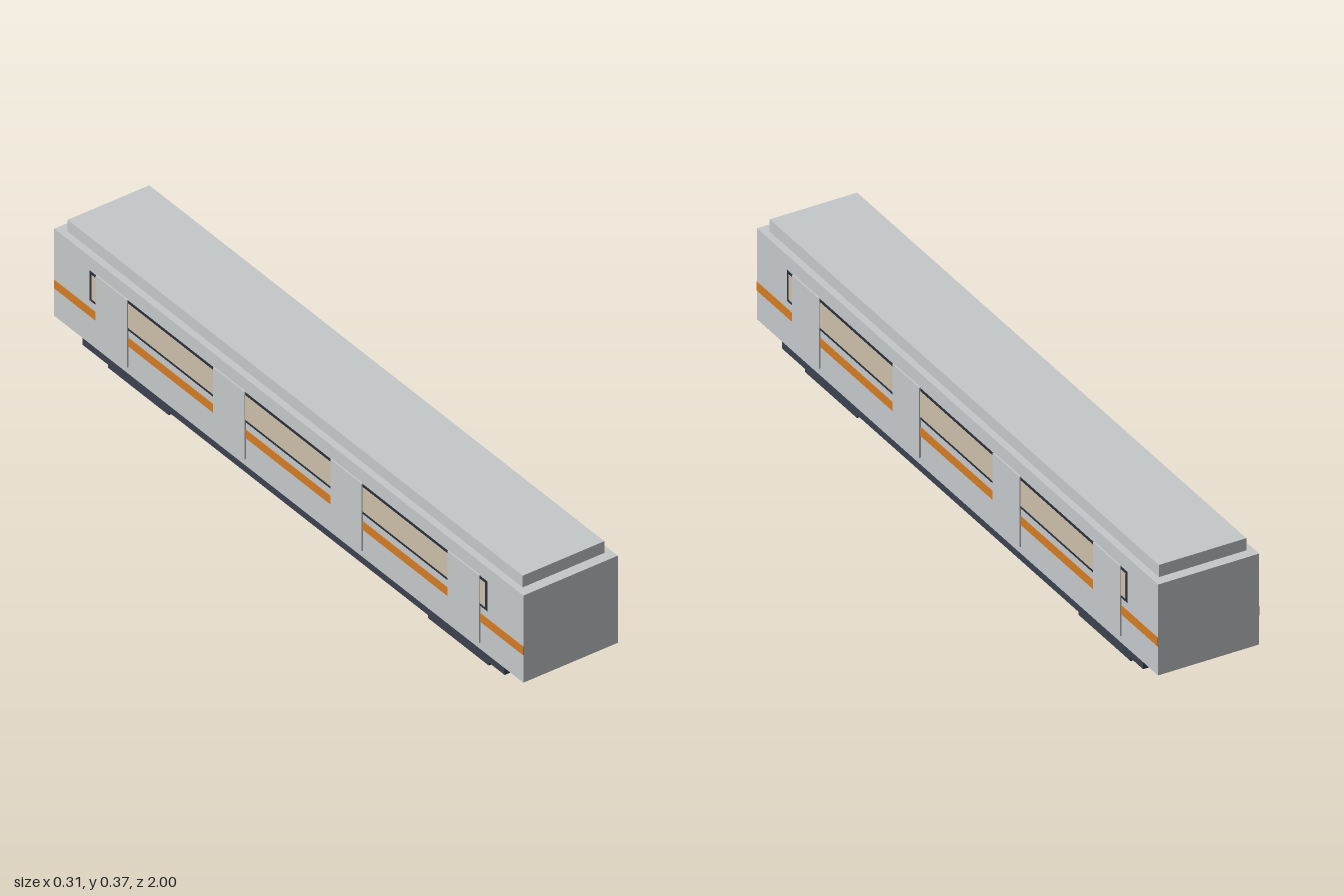
import * as THREE from 'three';

const mat = (name, color) => {
  const m = new THREE.MeshStandardMaterial({ color });
  m.name = name;
  return m;
};

export function createModel() {
  const steel = mat('brushed steel', 0xc5c8ca);
  const dark = mat('underframe slate', 0x3b4150);
  const trim = mat('window trim', 0x2a303c);
  const glass = mat('warm window', 0xccbfa8);
  const orange = mat('orange stripe', 0xd37c24);

  const car = new THREE.Group();
  car.name = 'railCar';

  // Box given by half width, bottom, top and z range
  const block = (name, material, halfW, y0, y1, z0, z1) => {
    const mesh = new THREE.Mesh(new THREE.BoxGeometry(halfW * 2, y1 - y0, z1 - z0), material);
    mesh.position.set(0, (y0 + y1) / 2, (z0 + z1) / 2);
    mesh.name = name;
    car.add(mesh);
  };

  // Thin plate on one side wall, reaching out to |x| = outer
  const inner = 0.1465;
  const plate = (name, material, side, outer, y0, y1, z0, z1) => {
    const mesh = new THREE.Mesh(new THREE.BoxGeometry(outer - inner, y1 - y0, z1 - z0), material);
    mesh.position.set(side * (outer + inner) / 2, (y0 + y1) / 2, (z0 + z1) / 2);
    mesh.name = name;
    car.add(mesh);
  };

  // Main volumes
  block('body', steel, 0.148, 0.066, 0.335, -1, 1);
  block('roof', steel, 0.128, 0.335, 0.371, -0.97, 0.97);
  block('underframe', dark, 0.133, 0.027, 0.066, -0.9, 0.9);
  block('frontBogie', dark, 0.118, 0, 0.027, 0.552, 0.812);
  block('rearBogie', dark, 0.118, 0, 0.027, -0.812, -0.552);

  // Side details: window band, stripe and four doors on each wall
  for (const side of [-1, 1]) {
    plate('windowTrim', trim, side, 0.1493, 0.201, 0.292, -0.848, 0.848);
    plate('windowBand', glass, side, 0.1502, 0.209, 0.284, -0.839, 0.839);
    plate('stripe', orange, side, 0.1495, 0.152, 0.178, -1, 1);
    for (const z of [-0.75, -0.25, 0.25, 0.75]) {
      plate('door', steel, side, 0.1525, 0.087, 0.295, z - 0.067, z + 0.067);
    }
  }
  return car;
}
